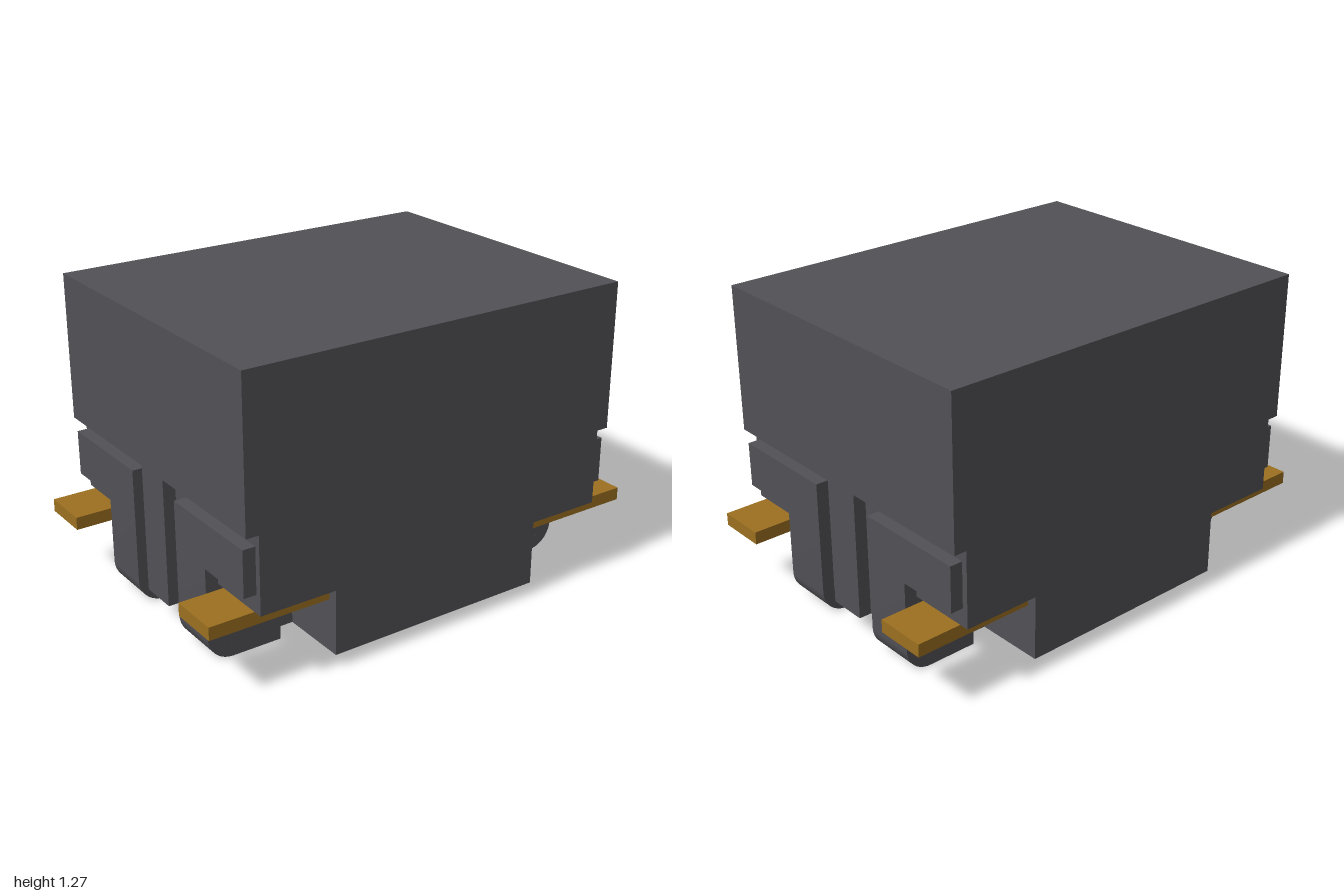
import * as THREE from 'three';
import { toCreasedNormals } from 'three/addons/utils/BufferGeometryUtils.js';

const W = 0.863, IN = 0.81, TOP = 1.27, REC = 0.65, BOT = 0.055, D = 0.675;

export function createModel() {
  const model = new THREE.Group();
  model.name = 'surfaceMountInductor';
  const grey = new THREE.MeshStandardMaterial({ color: 0x525156 });
  grey.name = 'dark grey';
  const gold = new THREE.MeshStandardMaterial({ color: 0x9c7020 });
  gold.name = 'bronze';

  const add = (parent, name, geometry, material) => {
    const mesh = new THREE.Mesh(geometry, material);
    mesh.name = name;
    parent.add(mesh);
    return mesh;
  };
  // Extrude an x-y outline between two depths
  const slice = (shape, z0, z1) => {
    const g = new THREE.ExtrudeGeometry(shape, { depth: z1 - z0, bevelEnabled: false, curveSegments: 10 });
    g.translate(0, 0, z0);
    return toCreasedNormals(g, 0.6);
  };
  const box = (x0, x1, y0, y1, z0, z1) =>
    new THREE.BoxGeometry(x1 - x0, y1 - y0, z1 - z0)
      .translate((x0 + x1) / 2, (y0 + y1) / 2, (z0 + z1) / 2);
  // Symmetric outline from its right half, listed bottom to top
  const mirrored = (half) => new THREE.Shape([
    ...half.map(([x, y]) => new THREE.Vector2(x, y)),
    ...half.slice().reverse().map(([x, y]) => new THREE.Vector2(-x, y)),
  ]);

  // Body outlines, from the middle of the depth outwards
  const upper = [[IN, REC], [W, REC], [W, TOP]];
  const r = 0.055;
  const bend = [];
  for (let i = 0; i <= 8; i++) {
    const a = -Math.PI / 2 + (i / 8) * Math.PI / 2;
    bend.push([IN - r + r * Math.cos(a), BOT + r + r * Math.sin(a)]);
  }
  const ribOutline = mirrored([[W, 0.11], [W, TOP]]);
  const channelOutline = mirrored([[IN, 0.11], ...upper]);
  const legOutline = mirrored([...bend, ...upper]);
  const cornerOutline = mirrored([[0.485, BOT], [0.485, 0.328], [IN, 0.328], ...upper]);

  const body = new THREE.Group();
  body.name = 'body';
  model.add(body);
  add(body, 'centreRib', slice(ribOutline, -0.082, 0.082), grey);
  for (const s of [-1, 1]) {
    const span = (shape, a, b) => slice(shape, Math.min(s * a, s * b), Math.max(s * a, s * b));
    add(body, 'channelSection', span(channelOutline, 0.082, 0.165), grey);
    add(body, 'legSection', span(legOutline, 0.165, 0.38), grey);
    add(body, 'endSection', span(cornerOutline, 0.38, D), grey);
  }

  // Rounded inner corners of the underside channel
  const f = 0.03;
  const filletShape = new THREE.Shape();
  filletShape.moveTo(0, 0);
  filletShape.lineTo(0, -f);
  filletShape.absarc(-f, -f, f, 0, Math.PI / 2, false);
  filletShape.lineTo(0, 0);
  const filletGeometry = toCreasedNormals(new THREE.ExtrudeGeometry(filletShape,
    { depth: 1.59, bevelEnabled: false, curveSegments: 6 }).translate(0, 0, -0.795), 0.6);
  for (const s of [-1, 1]) {
    const fillet = add(body, 'channelFillet', filletGeometry, grey);
    fillet.rotation.y = s * Math.PI / 2;
    fillet.position.set(0, 0.11, -s * 0.165);
  }

  // Bent clip profile: foot below, leg up the side
  const clip = new THREE.Shape();
  clip.moveTo(0.54, 0);
  clip.lineTo(W - 0.11, 0);
  clip.absarc(W - 0.11, 0.11, 0.11, -Math.PI / 2, 0, false);
  clip.lineTo(W, 0.597);
  clip.lineTo(IN, 0.597);
  clip.lineTo(IN, BOT + r);
  clip.absarc(IN - r, BOT + r, r, 0, -Math.PI / 2, true);
  clip.lineTo(0.54, BOT);
  clip.closePath();

  // One terminal per corner: bent leg, side arm and flat lead
  for (const front of [true, false]) {
    for (const left of [true, false]) {
      const terminal = new THREE.Group();
      terminal.name = (front ? 'front' : 'back') + (left ? 'Left' : 'Right') + 'Terminal';
      const z = (a, b) => (front ? [a, b] : [-b, -a]);
      // The right side is the opposite corner turned half round
      const zz = (a, b) => (left ? z(a, b) : z(a, b).map((v) => -v).reverse());
      add(terminal, 'clipLeg', slice(clip, ...zz(0.165, 0.38)), grey);
      add(terminal, 'clipArm', box(IN, W, 0.405, 0.597, ...zz(0.38, 0.65)), grey);
      add(terminal, 'lead', box(0.485, 1, 0.274, 0.328, ...zz(0.42, 0.634)), gold);
      if (!left) terminal.rotation.y = Math.PI;
      model.add(terminal);
    }
  }
  return model;
}
